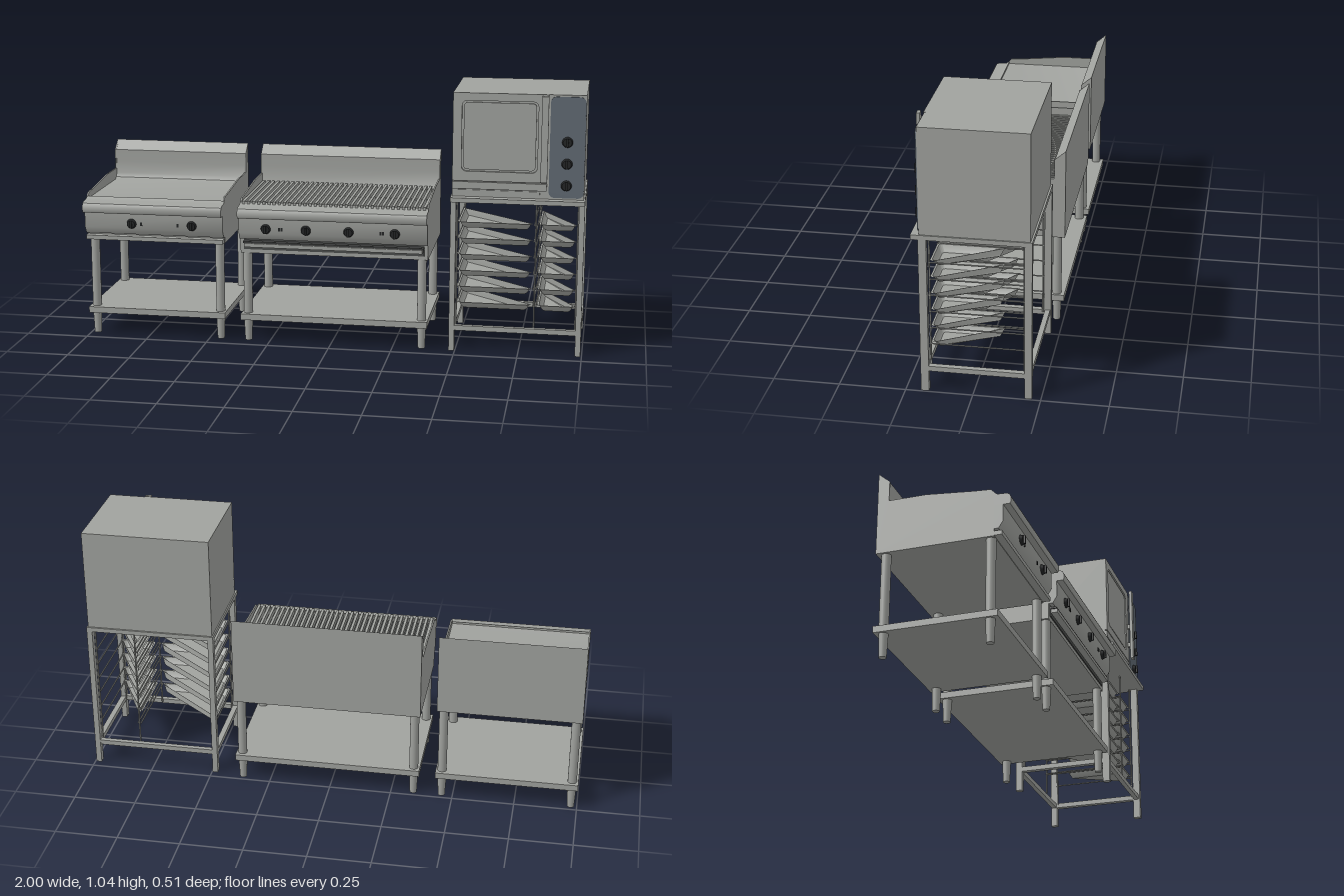
import * as THREE from 'three';
import { toCreasedNormals } from 'three/addons/utils/BufferGeometryUtils.js';

const mat = (name, color, side = THREE.FrontSide) => {
  const m = new THREE.MeshStandardMaterial({ color, side });
  m.name = name;
  return m;
};
const steel = mat('brushed steel', 0xa0a29e);
const sheet = mat('sheet steel', 0xa0a29e, THREE.DoubleSide);
const dark = mat('dark recess', 0x4a4c4b);
const black = mat('black plastic', 0x222425);
const slate = mat('slate panel', 0x606972);

function add(parent, name, geometry, material) {
  const mesh = new THREE.Mesh(geometry, material);
  mesh.name = name;
  parent.add(mesh);
  return mesh;
}

// Box given by its limits on each axis
function box(parent, name, x0, x1, y0, y1, z0, z1, material = steel) {
  const g = new THREE.BoxGeometry(x1 - x0, y1 - y0, z1 - z0);
  g.translate((x0 + x1) / 2, (y0 + y1) / 2, (z0 + z1) / 2);
  return add(parent, name, g, material);
}

// Profile of [z, y] points swept along x
function sweep(parent, name, points, x0, x1, material = steel) {
  const shape = new THREE.Shape(points.map(p => new THREE.Vector2(...p)));
  const g = new THREE.ExtrudeGeometry(shape, { depth: x1 - x0, bevelEnabled: false });
  g.rotateY(-Math.PI / 2).translate(x1, 0, 0);
  return add(parent, name, toCreasedNormals(g, 0.6), material);
}

function rod(parent, name, a, b, r, material = steel) {
  const path = new THREE.LineCurve3(new THREE.Vector3(...a), new THREE.Vector3(...b));
  return add(parent, name, new THREE.TubeGeometry(path, 1, r, 6), material);
}

function roundRect(x0, x1, y0, y1, r, Type = THREE.Shape) {
  const s = new Type();
  s.absarc(x1 - r, y1 - r, r, 0, Math.PI / 2);
  s.absarc(x0 + r, y1 - r, r, Math.PI / 2, Math.PI);
  s.absarc(x0 + r, y0 + r, r, Math.PI, Math.PI * 1.5);
  s.absarc(x1 - r, y0 + r, r, Math.PI * 1.5, Math.PI * 2);
  s.closePath();
  return s;
}

// Stepped round knob with a raised grip bar
function knob(parent, x, y, z, r) {
  const g = new THREE.Group();
  g.name = 'knob';
  const disc = new THREE.CylinderGeometry(r * 0.8, r, 0.012, 20).rotateX(Math.PI / 2);
  add(g, 'knobDial', disc.translate(0, 0, 0.006), black);
  box(g, 'knobGrip', -r * 0.22, r * 0.22, -r * 0.8, r * 0.8, 0.01, 0.018, black);
  g.position.set(x, y, z);
  parent.add(g);
}

// Four round legs with tapered feet, and a low shelf
function legsAndShelf(parent, x0, x1, top) {
  box(parent, 'shelf', x0, x1, 0.09, 0.115, -0.253, 0.21);
  for (const x of [x0 + 0.025, x1 - 0.025]) for (const z of [0.175, -0.222]) {
    const leg = new THREE.CylinderGeometry(0.018, 0.018, top - 0.11, 20);
    add(parent, 'leg', leg.translate(x, (top + 0.11) / 2, z), steel);
    const foot = new THREE.CylinderGeometry(0.018, 0.014, 0.092, 20);
    add(parent, 'foot', foot.translate(x, 0.046, z), steel);
  }
}

// Cooking range body shared by the griddle and the chargrill
function range(name, x0, x1, bottom, deck, knobs, lights) {
  const g = new THREE.Group();
  g.name = name;
  legsAndShelf(g, x0, x1, bottom);
  // body with coved splashback
  sweep(g, 'bodyAndSplashback', [
    [-0.254, bottom], [0.193, bottom], [0.193, deck], [-0.185, deck],
    [-0.2, deck + 0.008], [-0.208, deck + 0.025], [-0.212, 0.64], [-0.212, 0.69], [-0.254, 0.727],
  ], x0 + 0.006, x1 - 0.006);
  // side cheeks
  for (const x of [x0, x1 - 0.006]) sweep(g, 'sideCheek', [
    [-0.254, bottom], [0.193, bottom], [0.193, 0.575], [0.18, 0.588], [0.12, 0.592],
    [-0.066, 0.61], [-0.21, 0.61], [-0.21, 0.69], [-0.254, 0.727],
  ], x, x + 0.006);
  // bullnose and control fascia
  sweep(g, 'frontNose', [
    [0.19, 0.52], [0.252, 0.52], [0.256, 0.528], [0.256, 0.546], [0.25, 0.558], [0.24, 0.563],
    [0.205, 0.565], [0.19, 0.575],
  ], x0, x1);
  sweep(g, 'controlFascia', [[0.19, 0.428], [0.21, 0.428], [0.227, 0.455], [0.227, 0.521], [0.19, 0.521]], x0, x1);
  for (const x of knobs) knob(g, x, 0.475, 0.228, 0.02);
  for (const x of lights) box(g, 'indicator', x - 0.004, x + 0.004, 0.468, 0.482, 0.227, 0.23, black);
  return g;
}

function griddle() {
  const g = range('griddle', -1, -0.43, 0.4, 0.566, [-0.805, -0.557], [-0.765, -0.615]);
  box(g, 'dripTray', -0.998, -0.432, 0.403, 0.42, 0.19, 0.222);
  return g;
}

function chargrill() {
  const x0 = -0.365, x1 = 0.39;
  const g = range('chargrill', x0, x1, 0.366, 0.555, [-0.255, -0.093, 0.078, 0.262], [-0.19, -0.2, 0.205, 0.215]);
  // drip drawer in a dark slot
  box(g, 'drawerSlot', x0 + 0.015, x1 - 0.015, 0.382, 0.426, 0.19, 0.197, dark);
  box(g, 'drawerFront', x0 + 0.02, x1 - 0.02, 0.397, 0.412, 0.195, 0.223);
  box(g, 'drawerLip', x0 + 0.015, x1 - 0.015, 0.413, 0.419, 0.195, 0.22, dark);
  // grate bars
  box(g, 'grateBed', x0 + 0.007, x1 - 0.007, 0.553, 0.559, -0.198, 0.198, dark);
  const count = 36, pitch = (x1 - x0 - 0.03) / (count - 1);
  for (let i = 0; i < count; i++) {
    const x = x0 + 0.015 + i * pitch;
    box(g, 'grateBar', x - 0.0055, x + 0.0055, 0.558, 0.58, -0.2, 0.2);
  }
  for (const z of [-0.19, 0, 0.185]) box(g, 'grateTie', x0 + 0.008, x1 - 0.008, 0.558, 0.57, z, z + 0.008);
  return g;
}

// Shallow rimmed tray lofted from rounded rectangles
function tray(parent, x0, x1, z0, z1, y) {
  const rings = [[0, 0, 0.012], [0.007, 0, 0.012], [0.016, -0.02, 0.014], [0.022, -0.026, 0.012]];
  const pos = [], idx = [];
  let n = 0;
  for (const [inset, dy, r] of rings) {
    const pts = roundRect(x0 + inset, x1 - inset, z0 + inset, z1 - inset, r).getPoints(4);
    pts.length = n = 20;
    for (const p of pts) pos.push(p.x, y + dy, p.y);
  }
  for (let k = 0; k < rings.length - 1; k++) for (let i = 0; i < n; i++) {
    const a = k * n + i, b = k * n + (i + 1) % n;
    idx.push(a, a + n, b, b, a + n, b + n);
  }
  const last = (rings.length - 1) * n;
  for (let i = 1; i < n - 1; i++) idx.push(last, last + i + 1, last + i);
  const g = new THREE.BufferGeometry();
  g.setAttribute('position', new THREE.Float32BufferAttribute(pos, 3));
  g.setIndex(idx);
  add(parent, 'tray', toCreasedNormals(g, 0.6), sheet);
}

function rackStand() {
  const g = new THREE.Group();
  g.name = 'rackStand';
  const x0 = 0.475, x1 = 0.995, w = 0.022;
  box(g, 'standTop', x0, x1, 0.61, 0.628, -0.217, 0.22);
  for (const x of [x0, x1 - w]) {
    box(g, 'frontLeg', x, x + w, 0, 0.612, 0.163, 0.193);
    box(g, 'rearLeg', x, x + w, 0, 0.612, -0.217, -0.19);
    box(g, 'sideRail', x, x + w, 0.083, 0.103, -0.19, 0.163);
  }
  for (const z of [0.168, -0.213]) box(g, 'crossRail', x0 + w, x1 - w, 0.083, 0.103, z, z + 0.02);
  // upright wires, runners and trays
  const wires = [0.5, 0.808, 0.97];
  for (const x of wires) for (const z of [0.158, -0.186]) {
    rod(g, 'uprightWire', [x, 0.095, z], [x, 0.612, z], 0.0035);
  }
  for (let i = 0; i < 6; i++) {
    const y = 0.515 - i * 0.0655;
    for (const x of [0.5, 0.802, 0.814, 0.97]) rod(g, 'runner', [x, y - 0.003, 0.162], [x, y - 0.003, -0.19], 0.003);
    tray(g, 0.502, 0.796, -0.108, 0.157, y + 0.003);
    tray(g, 0.82, 0.968, -0.108, 0.157, y + 0.003);
  }
  return g;
}

function oven() {
  const g = new THREE.Group();
  g.name = 'oven';
  box(g, 'ovenBody', 0.48, 0.99, 0.628, 1.037, -0.21, 0.185);
  // door frame around a recessed window panel
  const frame = new THREE.Shape([[0.48, 0.692], [0.846, 0.692], [0.846, 1.037], [0.48, 1.037]].map(p => new THREE.Vector2(...p)));
  frame.holes.push(roundRect(0.515, 0.808, 0.73, 1.007, 0.02, THREE.Path));
  const frameGeo = new THREE.ExtrudeGeometry(frame, { depth: 0.009, bevelEnabled: false, curveSegments: 5 });
  add(g, 'doorFrame', frameGeo.translate(0, 0, 0.185), steel);
  const pane = new THREE.ExtrudeGeometry(roundRect(0.522, 0.801, 0.737, 1, 0.016), { depth: 0.006, bevelEnabled: false, curveSegments: 5 });
  add(g, 'windowPanel', pane.translate(0, 0, 0.185), steel);
  box(g, 'lowerTrim', 0.48, 0.846, 0.66, 0.688, 0.185, 0.194);
  box(g, 'baseTrim', 0.48, 0.82, 0.63, 0.656, 0.185, 0.19);
  // full-height handle on standoffs
  box(g, 'doorHandle', 0.822, 0.848, 0.7, 1.033, 0.207, 0.22);
  for (const y of [0.76, 0.85]) box(g, 'handleStandoff', 0.83, 0.84, y, y + 0.02, 0.193, 0.208);
  // control panel with clipped corners
  box(g, 'panelBacking', 0.85, 0.99, 0.63, 1.037, 0.185, 0.19);
  const panel = new THREE.ExtrudeGeometry(roundRect(0.854, 0.988, 0.636, 1.03, 0.022), { depth: 0.006, bevelEnabled: false, curveSegments: 3 });
  add(g, 'controlPanel', panel.translate(0, 0, 0.189), slate);
  for (const y of [0.855, 0.77, 0.685]) knob(g, 0.921, y, 0.195, 0.021);
  return g;
}

export function createModel() {
  const model = new THREE.Group();
  model.name = 'commercialKitchenLine';
  model.add(griddle(), chargrill(), rackStand(), oven());
  return model;
}
